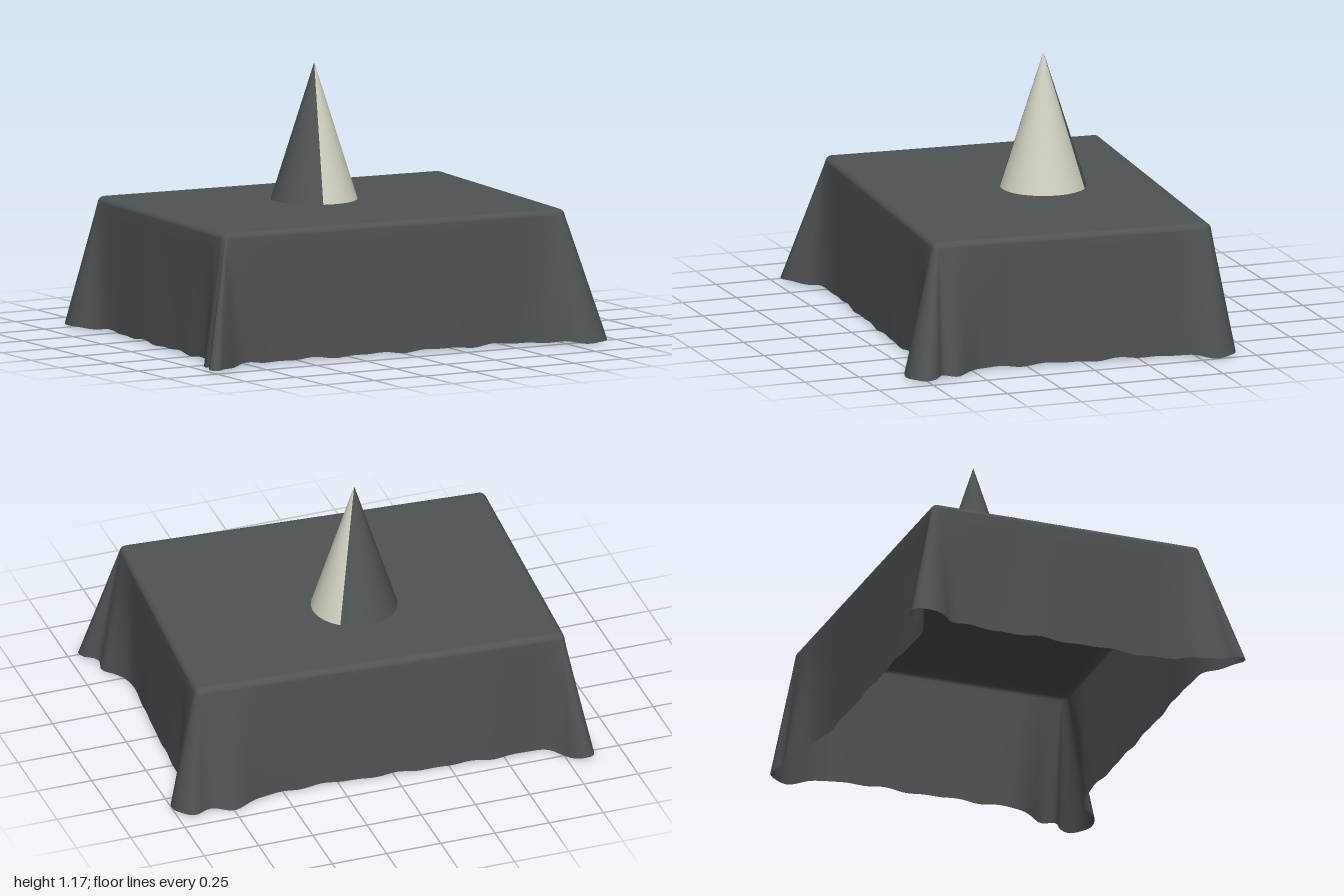
import * as THREE from 'three';

const TOP = 0.585, ROUND = 0.03;

// Flat tabletop outline (x, z), inset by the edge rounding
const TABLE = [[-0.75, -0.66], [0.86, -0.56], [0.77, 0.64], [-0.82, 0.53]];

// Hem of the hanging cloth (x, z): straight sides with a gathered fold at each corner
const HEM = [
  [-0.68, -0.69], [-0.74, -0.74], [-0.80, -0.81], [-0.86, -0.81], [-0.88, -0.75], [-0.86, -0.68], [-0.81, -0.61], [-0.80, -0.50],
  [-0.82, -0.2], [-0.84, 0.2], [-0.86, 0.42],
  [-0.92, 0.50], [-0.95, 0.56], [-0.95, 0.62], [-1.0, 0.68], [-0.98, 0.71], [-0.90, 0.67], [-0.80, 0.61], [-0.68, 0.59],
  [-0.3, 0.615], [0.2, 0.645], [0.62, 0.675],
  [0.72, 0.74], [0.78, 0.80], [0.88, 0.81], [0.95, 0.76], [0.94, 0.71], [0.89, 0.66], [0.90, 0.60], [0.86, 0.53], [0.825, 0.45],
  [0.85, 0.1], [0.875, -0.2], [0.895, -0.40],
  [0.94, -0.47], [1.0, -0.57], [0.98, -0.64], [0.93, -0.68], [0.85, -0.66], [0.75, -0.69], [0.60, -0.64], [0.45, -0.625],
  [0, -0.65], [-0.4, -0.675],
].reverse();

// Nearest point to p on the tabletop outline
function nearestOnTable(p) {
  const v = TABLE.map(([x, z]) => new THREE.Vector3(x, 0, z));
  let best = null;
  v.forEach((a, i) => {
    const q = new THREE.Line3(a, v[(i + 1) % 4]).closestPointToPoint(p, true, new THREE.Vector3());
    if (!best || q.distanceTo(p) < best.distanceTo(p)) best = q;
  });
  return best;
}

function clothGeometry() {
  const N = 280, BEND = 5, DROP = 10;
  const curve = new THREE.CatmullRomCurve3(HEM.map(([x, z]) => new THREE.Vector3(x, 0, z)), true, 'centripetal');
  curve.arcLengthDivisions = 1000;
  const hem = curve.getSpacedPoints(N);
  const columns = hem.map((h, i) => {
    const c = nearestOnTable(h);
    const n = h.clone().sub(c).normalize();
    const a = (i / N) * Math.PI * 2;
    const lift = 0.014 + 0.004 * Math.sin(a * 23) + 0.003 * Math.sin(a * 41);
    const at = (p, y) => new THREE.Vector3(p.x, y, p.z);
    // Flat top, from the middle outwards
    const col = [0, 0.5, 0.96].map((s) => at(c.clone().multiplyScalar(s), TOP));
    // Rounded table edge
    for (let k = 0; k <= BEND; k++) {
      const t = (k / BEND) * Math.PI * 0.45;
      col.push(at(c.clone().addScaledVector(n, ROUND * Math.sin(t)), TOP - ROUND * (1 - Math.cos(t))));
    }
    // Hanging side, flaring out to the hem
    const e = col[col.length - 1];
    for (let k = 1; k <= DROP; k++) {
      const t = k / DROP;
      col.push(at(e.clone().lerp(h, t), THREE.MathUtils.lerp(e.y, lift, t)));
    }
    return col;
  });

  const rows = columns[0].length, pos = [], idx = [];
  for (let i = 0; i < N; i++) {
    columns[i].forEach((p) => pos.push(p.x, p.y, p.z));
    const a = i * rows, b = ((i + 1) % N) * rows;
    for (let j = 0; j < rows - 1; j++) {
      if (j > 0) idx.push(a + j, b + j, a + j + 1);
      idx.push(b + j, b + j + 1, a + j + 1);
    }
  }
  const g = new THREE.BufferGeometry();
  g.setAttribute('position', new THREE.Float32BufferAttribute(pos, 3));
  g.setIndex(idx);
  g.computeVertexNormals();
  return g;
}

export function createModel() {
  const group = new THREE.Group();
  const cloth = new THREE.MeshStandardMaterial({ name: 'charcoal cloth', color: 0x4e5354, side: THREE.DoubleSide });
  const pale = new THREE.MeshStandardMaterial({ name: 'pale stone', color: 0xcfd0c0, side: THREE.DoubleSide });

  const tablecloth = new THREE.Mesh(clothGeometry(), cloth);
  tablecloth.name = 'tablecloth';
  group.add(tablecloth);

  // Cone in two colours, split along its height
  const H = 0.6, start = -0.31, sweep = 2.78;
  const sector = (name, material, from, length) => {
    const m = new THREE.Mesh(new THREE.CylinderGeometry(0.001, 0.19, H, 40, 4, true, from, length), material);
    m.name = name;
    m.position.set(0, TOP - 0.005 + H / 2, -0.14);
    group.add(m);
  };
  sector('conePaleSide', pale, start, sweep);
  sector('coneDarkSide', cloth, start + sweep, Math.PI * 2 - sweep);

  return group;
}
